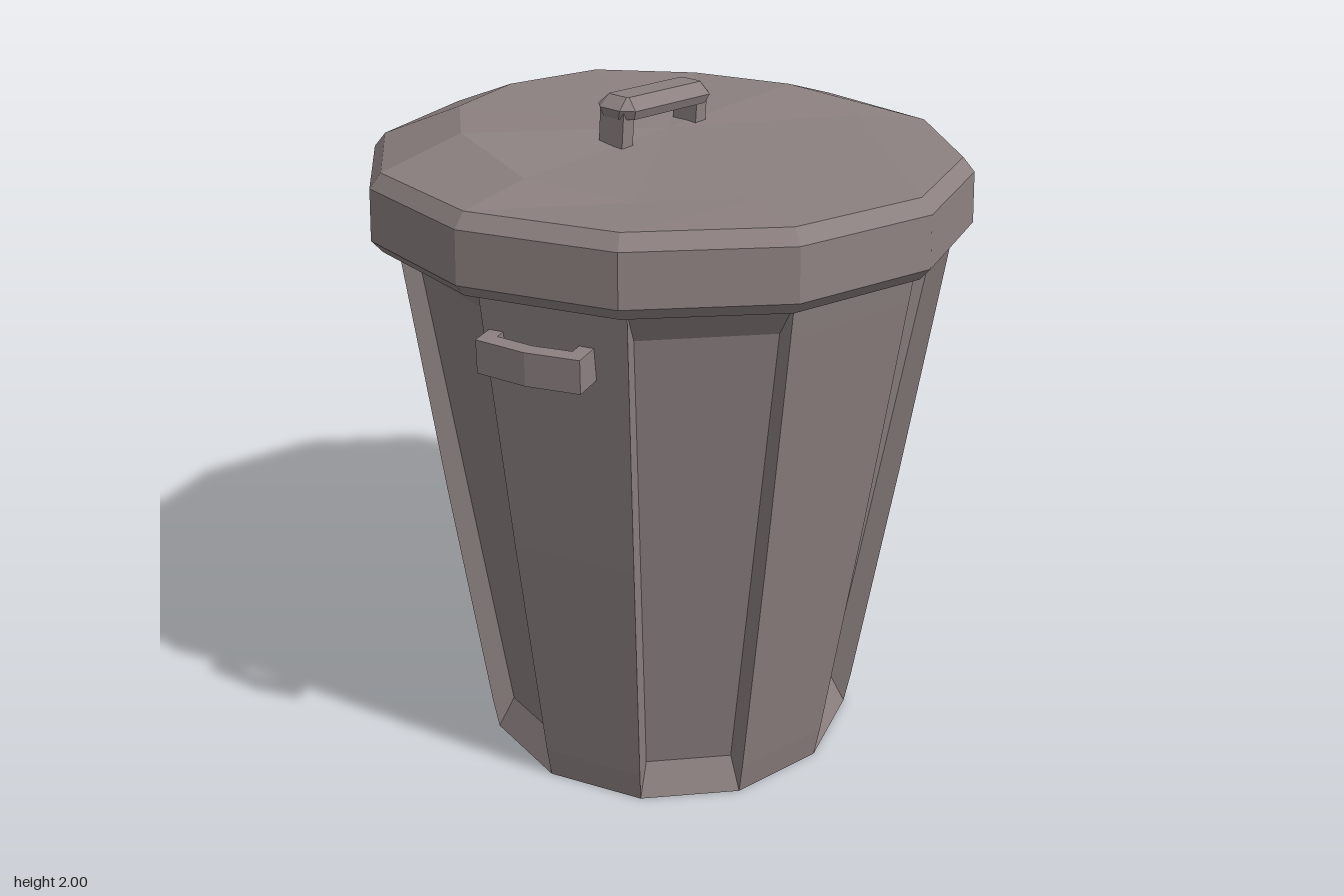
import * as THREE from 'three';

const SIDES = 12;
const STEP = (Math.PI * 2) / SIDES;
const metal = new THREE.MeshStandardMaterial({ color: 0x8c8080, flatShading: true });

// Point at an angle measured from the front (+z) towards +x
const polar = (a, r, y) => new THREE.Vector3(Math.sin(a) * r, y, Math.cos(a) * r);

// Skin between rings of equal point count, bottom to top, with fan caps
function loft(rings, topCentre) {
  const pos = [];
  const tri = (a, b, c) => {
    const area = b.clone().sub(a).cross(c.clone().sub(a)).length();
    if (area > 1e-7) for (const p of [a, b, c]) pos.push(p.x, p.y, p.z);
  };
  const middle = (ring) =>
    ring.reduce((s, p) => s.add(p), new THREE.Vector3()).divideScalar(ring.length);
  const n = rings[0].length;
  const last = rings[rings.length - 1];
  const low = middle(rings[0]);
  const high = topCentre || middle(last);
  for (let i = 0; i < n; i++) {
    const j = (i + 1) % n;
    tri(low, rings[0][j], rings[0][i]);
    tri(high, last[i], last[j]);
    for (let k = 0; k + 1 < rings.length; k++) {
      const a = rings[k], b = rings[k + 1];
      tri(a[i], a[j], b[j]);
      tri(a[i], b[j], b[i]);
    }
  }
  const geo = new THREE.BufferGeometry();
  geo.setAttribute('position', new THREE.Float32BufferAttribute(pos, 3));
  geo.computeVertexNormals();
  return geo;
}

function addMesh(parent, name, geo) {
  const mesh = new THREE.Mesh(geo, metal);
  mesh.name = name;
  parent.add(mesh);
  return mesh;
}

// Body ring: every second panel is pushed in by depth, its sides drawn in a little
function bodyRing(y, r, depth) {
  const ring = [];
  const shift = new THREE.Vector3(-0.008, 0, 0.005 + 0.01 * y);
  for (let i = 0; i < SIDES; i += 2) {
    const a = polar(i * STEP, r, y);
    const b = polar((i + 1) * STEP, r, y);
    const inward = polar((i + 0.5) * STEP, -depth, 0);
    const along = b.clone().sub(a).normalize().multiplyScalar(depth * 0.42);
    ring.push(a, a.clone().add(inward).add(along), b.clone().add(inward).sub(along), b);
  }
  return ring.map((p) => p.add(shift));
}

// Lid ring, sloping down to the model's left and back
const tilt = (p) => p.setY(p.y - 0.055 * p.x + 0.036 * p.z);
const lidRing = (r, y) =>
  Array.from({ length: SIDES }, (_, i) => tilt(polar(i * STEP, r, y)));

// Rectangle with cut corners, counter-clockwise from above
function cutRect(w, d, c, y) {
  const x = w / 2, z = d / 2;
  return [[x - c, z], [x, z - c], [x, c - z], [x - c, -z],
    [c - x, -z], [-x, c - z], [-x, z - c], [c - x, z]]
    .map(([px, pz]) => new THREE.Vector3(px, y, pz));
}

export function createModel() {
  const model = new THREE.Group();
  model.name = 'trashCan';

  // Tapered body with sunken panels
  addMesh(model, 'body', loft([
    bodyRing(0, 0.565, 0),
    bodyRing(0.1, 0.582, 0.06),
    bodyRing(0.86, 0.685, 0.055),
    bodyRing(1.56, 0.773, 0.045),
    bodyRing(1.66, 0.785, 0),
  ]));

  // Lid with a bevelled rim and a battered, uneven crown
  const crown = [1.85, 1.84, 1.83, 1.85, 1.85, 1.87, 1.88, 1.90, 1.92, 1.88, 1.86, 1.86];
  addMesh(model, 'lid', loft([
    lidRing(0.72, 1.62),
    lidRing(0.77, 1.595),
    lidRing(0.815, 1.595),
    lidRing(0.845, 1.63),
    lidRing(0.838, 1.775),
    lidRing(0.805, 1.815),
    crown.map((y, i) => polar(i * STEP, 0.585, y)),
  ], new THREE.Vector3(0, 1.865, 0)));

  // Lid handle: bevelled bar on two legs
  const handle = new THREE.Group();
  handle.name = 'lidHandle';
  handle.position.set(-0.05, 1.87, -0.012);
  handle.rotation.z = -0.09;
  model.add(handle);
  addMesh(handle, 'lidHandleBar', loft([
    cutRect(0.37, 0.11, 0.03, 0.06),
    cutRect(0.385, 0.128, 0.03, 0.085),
    cutRect(0.32, 0.068, 0.005, 0.116),
  ]));
  for (const s of [-1, 1]) {
    const leg = addMesh(handle, 'lidHandleLeg', new THREE.BoxGeometry(0.045, 0.12, 0.08));
    leg.position.set(s * 0.16, 0.02, 0);
  }

  // Bracket-shaped grips on two opposite raised panels
  const outline = [[-0.145, 0.7], [-0.145, 0.83], [0, 0.846], [0.145, 0.83], [0.145, 0.7],
    [0.105, 0.7], [0.105, 0.79], [0, 0.802], [-0.105, 0.79], [-0.105, 0.7]];
  const grip = new THREE.ExtrudeGeometry(
    new THREE.Shape(outline.map(([x, y]) => new THREE.Vector2(x, y))),
    { depth: 0.092, bevelEnabled: false });
  grip.rotateX(-Math.PI / 2);
  [['leftGrip', 3.45, 1.46], ['rightGrip', 9.45, 1.452]].forEach(([name, panel, y]) => {
    const mesh = addMesh(model, name, grip);
    mesh.position.y = y;
    mesh.rotation.y = panel * STEP - Math.PI;
  });

  return model;
}
